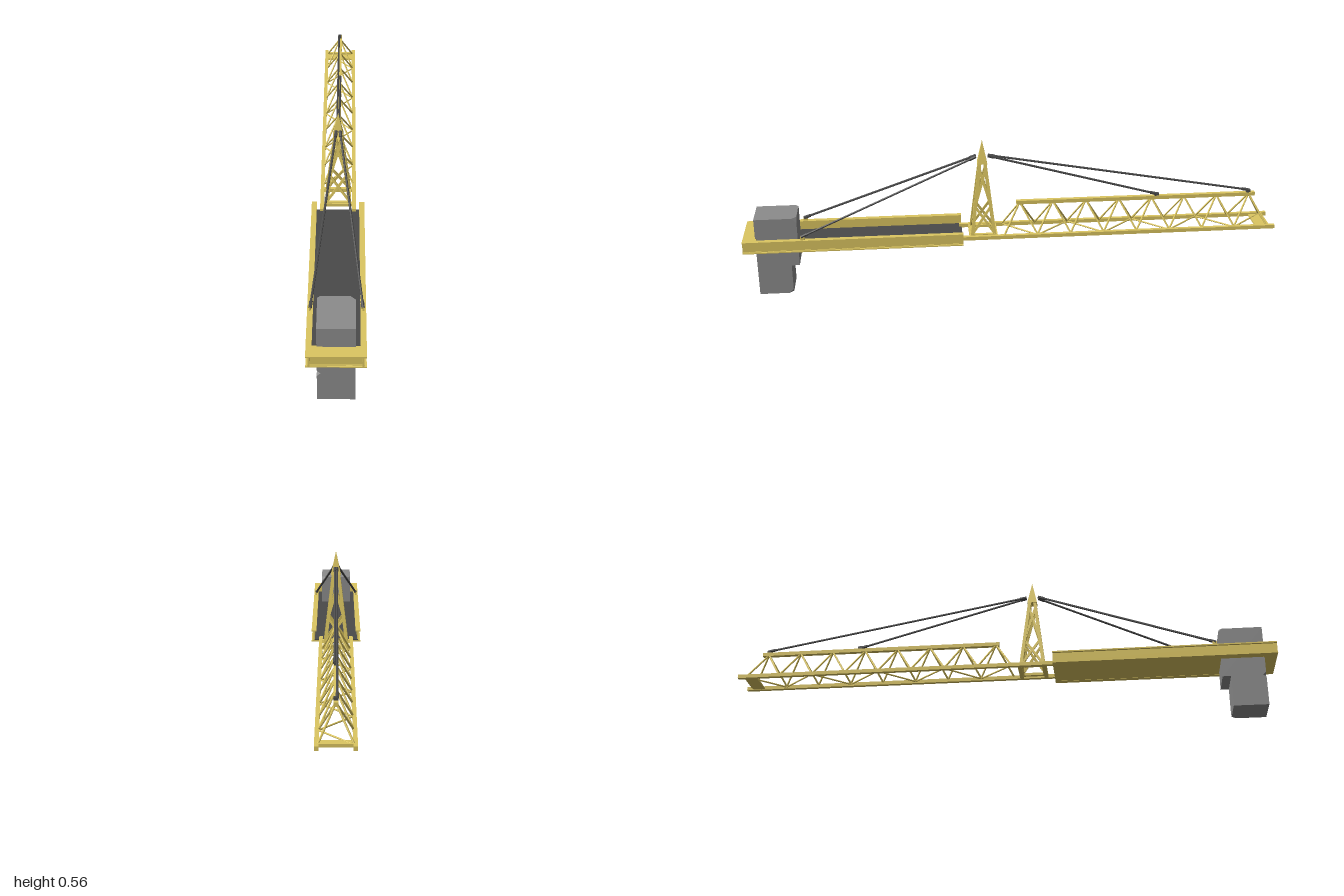
import * as THREE from 'three';
import { ConvexGeometry } from 'three/addons/geometries/ConvexGeometry.js';

const mat = (color) => new THREE.MeshStandardMaterial({ color, flatShading: true });
const V = (x, y, z) => new THREE.Vector3(x, y, z);

export function createModel() {
  const yellow = mat(0xdcc661), dark = mat(0x4a4a4a), concrete = mat(0x8c8c8c);
  const root = new THREE.Group();
  const group = (name) => {
    const g = new THREE.Group();
    g.name = name;
    root.add(g);
    return g;
  };
  const add = (parent, name, geo, m) => {
    const mesh = new THREE.Mesh(geo, m);
    mesh.name = name;
    parent.add(mesh);
    return mesh;
  };
  // Box given by its minimum and maximum corners
  const box = (parent, name, a, b, m = yellow) => {
    const mesh = add(parent, name, new THREE.BoxGeometry(b[0] - a[0], b[1] - a[1], b[2] - a[2]), m);
    mesh.position.set((a[0] + b[0]) / 2, (a[1] + b[1]) / 2, (a[2] + b[2]) / 2);
    return mesh;
  };
  // Flat bar from a to b: w across, t thick along the given face normal
  const bar = (parent, name, a, b, w, t, normal) => {
    const dir = b.clone().sub(a), len = dir.length();
    dir.normalize();
    const side = dir.clone().cross(normal).normalize();
    const mesh = add(parent, name, new THREE.BoxGeometry(w, len, t), yellow);
    mesh.quaternion.setFromRotationMatrix(new THREE.Matrix4().makeBasis(side, dir, side.clone().cross(dir)));
    mesh.position.copy(a).add(b).multiplyScalar(0.5);
    return mesh;
  };
  // Round rod from a to b
  const rod = (parent, name, a, b, r, m, sides = 6) => {
    const d = b.clone().sub(a);
    const mesh = add(parent, name, new THREE.CylinderGeometry(r, r, d.length(), sides), m);
    mesh.quaternion.setFromUnitVectors(V(0, 1, 0), d.normalize());
    mesh.position.copy(a).add(b).multiplyScalar(0.5);
  };

  // Counter jib: I-beams around a dark deck
  const deck = group('counterJib');
  box(deck, 'deckUnderside', [-0.09, 0.185, 0.19], [0.09, 0.19, 0.995]);
  box(deck, 'deckFloor', [-0.086, 0.19, 0.19], [0.086, 0.194, 0.99], dark);
  for (const s of [-1, 1]) {
    const beam = (name, x0, x1, y0, y1) =>
      box(deck, name, [Math.min(s * x0, s * x1), y0, 0.19], [Math.max(s * x0, s * x1), y1, 1]);
    beam('sideWeb', 0.083, 0.088, 0.188, 0.228);
    beam('sideTopFlange', 0.077, 0.096, 0.225, 0.23);
    beam('sideBottomFlange', 0.077, 0.096, 0.184, 0.188);
  }
  box(deck, 'endWeb', [-0.088, 0.188, 0.985], [0.088, 0.226, 0.992]);
  box(deck, 'endTopFlange', [-0.078, 0.225, 0.95], [0.078, 0.23, 1]);
  box(deck, 'endBottomFlange', [-0.078, 0.184, 0.95], [0.078, 0.188, 1]);

  // Counterweight: two blocks with chipped corners
  const weight = group('counterweight');
  const chipped = (name, min, max, chips) => {
    const pts = [];
    for (let i = 0; i < 8; i++) {
      const bit = [i & 1, (i >> 1) & 1, (i >> 2) & 1];
      const p = bit.map((b, k) => (b ? max[k] : min[k]));
      if (!chips[i]) { pts.push(V(...p)); continue; }
      for (let k = 0; k < 3; k++) {
        const q = p.slice();
        q[k] += (bit[k] ? -1 : 1) * chips[i];
        pts.push(V(...q));
      }
    }
    add(weight, name, new ConvexGeometry(pts), concrete);
  };
  chipped('upperBlock', [-0.062, 0.115, 0.8], [0.062, 0.305, 0.955], { 3: 0.018, 2: 0.01, 4: 0.012 });
  chipped('lowerBlock', [-0.062, 0, 0.83], [0.062, 0.115, 0.955], { 1: 0.016, 6: 0.012 });

  // Main jib: triangular lattice with two lower chords and one upper chord
  const jib = group('mainJib');
  for (const s of [-1, 1])
    box(jib, 'lowerChord', [s * 0.059 - 0.007, 0.19, -1], [s * 0.059 + 0.007, 0.204, 0.2]);
  box(jib, 'upperChord', [-0.008, 0.304, -0.93], [0.008, 0.318, -0.015]);
  box(jib, 'tipPlate', [-0.054, 0.192, -0.975], [0.054, 0.198, -0.93]);
  box(jib, 'tipCrossbar', [-0.054, 0.196, -0.98], [0.054, 0.204, -0.97]);
  const bays = 8, z0 = 0.035, step = 1.005 / bays;
  for (let i = 0; i < bays; i++) {
    const zA = z0 - i * step, zM = zA - step / 2, zB = zA - step;
    for (const s of [-1, 1]) {
      rod(jib, 'sideLacing', V(s * 0.055, 0.2, zA), V(0, 0.31, zM), 0.0035, yellow);
      rod(jib, 'sideLacing', V(0, 0.31, zM), V(s * 0.055, 0.2, zB), 0.0035, yellow);
    }
    const s = i % 2 ? 1 : -1;
    rod(jib, 'bottomLacing', V(s * 0.055, 0.198, zA), V(-s * 0.055, 0.198, zB), 0.003, yellow);
  }

  // Tower: four tapering legs with crossed flat braces and a pointed cap
  const tower = group('tower');
  const cz = 0.112, yBase = 0.2, yTop = 0.5;
  const half = (y) => THREE.MathUtils.lerp(0.042, 0.007, (y - yBase) / (yTop - yBase));
  for (let f = 0; f < 4; f++) {
    const up = V(0, 1, 0), face = new THREE.Group();
    face.name = 'towerFace';
    face.position.z = cz;
    face.rotation.y = (f * Math.PI) / 2;
    tower.add(face);
    const P = (s, y) => V(s * half(y), y, half(y));
    const normal = V(0, 0.115, 1).normalize();
    bar(face, 'leg', P(-1, yBase), P(-1, yTop), 0.012, 0.012, normal);
    for (const [a, b] of [[0.205, 0.31], [0.31, 0.455]])
      for (const s of [-1, 1])
        bar(face, 'crossBrace', P(s, a), P(-s, b), 0.009, 0.005, normal);
    bar(face, 'baseRail', P(-1, yBase), P(1, yBase), 0.012, 0.01, up);
  }
  for (const z of [0.066, 0.158])
    box(tower, 'baseCrossbeam', [-0.054, 0.19, z - 0.007], [0.054, 0.202, z + 0.007]);
  const capGeo = new THREE.ConeGeometry(0.0185 * Math.SQRT2, 0.09, 4);
  capGeo.rotateY(Math.PI / 4);
  add(tower, 'towerCap', capGeo, yellow).position.set(0, 0.52, cz);

  // Stay cables with thicker end sockets and anchor lugs
  const stays = group('stayCables');
  const stay = (a, b) => {
    rod(stays, 'stayCable', a, b, 0.0042, dark);
    const d = b.clone().sub(a).normalize().multiplyScalar(0.025);
    rod(stays, 'upperSocket', a, a.clone().add(d), 0.006, dark);
    rod(stays, 'lowerSocket', b.clone().sub(d), b, 0.006, dark);
  };
  for (const s of [-1, 1]) {
    stay(V(s * 0.007, 0.502, 0.135), V(s * 0.086, 0.241, 0.785));
    box(stays, 'deckLug', [s * 0.087 - 0.003, 0.228, 0.772], [s * 0.087 + 0.003, 0.243, 0.788]);
  }
  for (const [x, z] of [[0.004, -0.55], [-0.004, -0.905]]) {
    stay(V(x, 0.503, 0.09), V(x, 0.325, z));
    box(stays, 'jibLug', [-0.007, 0.316, z - 0.008], [0.007, 0.328, z + 0.008], dark);
  }
  return root;
}
